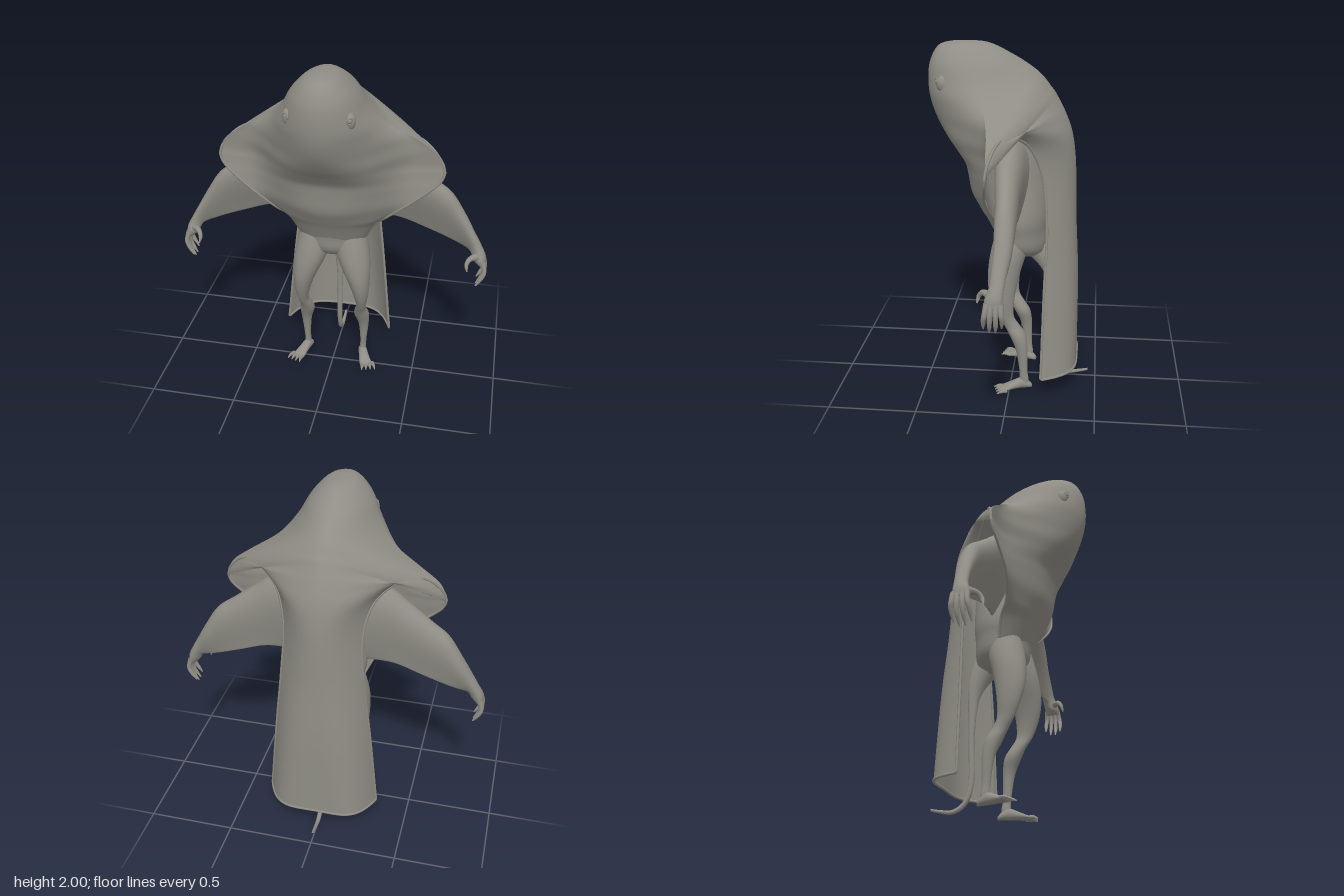
import * as THREE from 'three';
import { mergeGeometries, mergeVertices } from 'three/addons/utils/BufferGeometryUtils.js';

const skin = new THREE.MeshStandardMaterial({ color: 0x8f8d85, side: THREE.DoubleSide });
skin.name = 'grey skin';
const V = (x, y, z) => new THREE.Vector3(x, y, z);

// smooth interpolation between rows of numbers, n steps per row
function sample(keys, n) {
  const out = [], last = keys.length - 1;
  for (let i = 0; i <= last * n; i++) {
    const k = Math.min(Math.floor(i / n), last - 1), t = i / n - k;
    const [a, b, c, d] = [k - 1, k, k + 1, k + 2].map(m => keys[Math.max(0, Math.min(last, m))]);
    out.push(b.map((_, m) => b[m] + 0.5 * t * (c[m] - a[m] + t * (2 * a[m] - 5 * b[m] + 4 * c[m] - d[m]
      + t * (3 * (b[m] - c[m]) + d[m] - a[m])))));
  }
  return out;
}

// surface through rows of points; closed rows get end caps
function skinRows(rows, closed, flip) {
  const w = rows[0].length, pos = [], idx = [];
  rows.forEach(r => r.forEach(p => pos.push(p.x, p.y, p.z)));
  const tri = (a, b, c) => flip ? idx.push(a, c, b) : idx.push(a, b, c);
  for (let i = 0; i < rows.length - 1; i++) {
    for (let j = 0; j < (closed ? w : w - 1); j++) {
      const a = i * w + j, d = i * w + (j + 1) % w;
      tri(a, a + w, d);
      tri(d, a + w, d + w);
    }
  }
  if (closed) {
    const e = (rows.length - 1) * w;
    for (let j = 1; j < w - 1; j++) {
      tri(0, j, j + 1);
      tri(e, e + j + 1, e + j);
    }
  }
  const g = new THREE.BufferGeometry();
  g.setAttribute('position', new THREE.Float32BufferAttribute(pos, 3));
  g.setIndex(idx);
  g.computeVertexNormals();
  return g;
}

const ring = (n, f) => Array.from({ length: n }, (_, i) => f(i / n * Math.PI * 2));

// upright limb from keys [y, centre x, radius x, centre z, radius z]
const limb = keys => skinRows(sample(keys, 5).map(([y, cx, rx, cz, rz]) =>
  ring(24, a => V(cx + rx * Math.cos(a), y, cz + rz * Math.sin(a)))), true);

// tube whose radius follows a list
function taper(points, radii, n = 24) {
  const curve = new THREE.CatmullRomCurve3(points.map(p => V(...p)));
  const g = new THREE.TubeGeometry(curve, n, 1, 10), p = g.attributes.position, v = V(0, 0, 0);
  for (let i = 0; i <= n; i++) {
    const f = i / n * (radii.length - 1), k = Math.min(Math.floor(f), radii.length - 2);
    const r = radii[k] + (radii[k + 1] - radii[k]) * (f - k), c = curve.getPointAt(i / n);
    for (let j = 0; j <= 10; j++) {
      v.fromBufferAttribute(p, i * 11 + j).sub(c).multiplyScalar(r).add(c);
      p.setXYZ(i * 11 + j, v.x, v.y, v.z);
    }
  }
  return g;
}

// one mantle row from [edge x, y, z, middle y, middle z, power, roundness]
const mantleRow = ([ex, ey, ez, cy, cz, p, q]) => Array.from({ length: 65 }, (_, j) => {
  const s = Math.sin((j / 32 - 1) * Math.PI / 2), u = Math.abs(s);
  return V(ex * s, ey + (cy - ey) * (1 - Math.pow(u, 1.5)),
    ez + (cz - ez) * Math.pow(Math.max(0, 1 - Math.pow(u, p)), q));
});

function add(parent, name, geometry) {
  const m = new THREE.Mesh(geometry, skin);
  m.name = name;
  parent.add(m);
  return m;
}

export function createModel() {
  const model = new THREE.Group();
  model.name = 'creature';

  // hood: shared ridge, then front middle, then back middle
  const hood = sample([
    [0, 2, .27, 2, .27, 2, .5, 2, .27, 2, .5],
    [.085, 1.98, .265, 1.98, .39, 2, .5, 1.99, .13, 2, .5],
    [.165, 1.9, .24, 1.9, .445, 2, .5, 1.93, 0, 2, .5],
    [.23, 1.79, .18, 1.8, .46, 2, .55, 1.88, -.085, 1.9, .65],
    [.32, 1.69, .125, 1.69, .45, 2, .85, 1.84, -.14, 1.7, .85],
    [.47, 1.595, .09, 1.59, .415, 2.2, 2.1, 1.8, -.18, 1.5, 1],
    [.575, 1.52, .08, 1.5, .36, 2.8, 4.5, 1.76, -.21, 1.4, 1],
    [.615, 1.45, .075, 1.43, .305, 3.3, 7.5, 1.735, -.23, 1.4, 1],
    [.62, 1.41, .08, 1.39, .275, 3.4, 8, 1.71, -.245, 1.4, 1]], 5);
  // breast, from the wing tips in to the waist
  const breast = sample([
    [.62, 1.41, .08, 1.39, .275, 3.4, 8],
    [.6, 1.36, .085, 1.35, .252, 3.3, 7],
    [.54, 1.3, .095, 1.28, .24, 3, 5],
    [.42, 1.2, .1, 1.18, .225, 2.6, 2.6],
    [.31, 1.1, .07, 1.1, .185, 2.1, 1],
    [.25, 1.03, .02, 1.03, .145, 2, .6],
    [.195, .92, -.01, .92, .092, 2, .5]], 5);
  // cape, from the wing tips over the arm arch to the hem
  const cape = sample([
    [.62, 1.41, .08, 1.71, -.245, 1.4, 1],
    [.6, 1.47, .07, 1.68, -.262, 1.4, 1],
    [.53, 1.545, .04, 1.64, -.282, 1.5, 1],
    [.45, 1.575, 0, 1.58, -.308, 1.6, 1],
    [.35, 1.55, -.06, 1.51, -.33, 1.9, 1],
    [.258, 1.46, -.13, 1.42, -.346, 2.1, 1],
    [.218, 1.28, -.188, 1.28, -.357, 2.1, 1],
    [.235, 1, -.21, 1, -.365, 2.4, 1],
    [.275, .65, -.2, .65, -.382, 3.2, 1],
    [.325, .14, -.19, .155, -.385, 4.5, 1]], 5);
  const frontRows = [...hood.map(r => r.slice(0, 7)), ...breast.slice(1)].map(mantleRow);
  const backRows = [...hood.map(r => [...r.slice(0, 3), ...r.slice(7)]), ...cape.slice(1)].map(mantleRow);
  const sheets = [skinRows(frontRows, false), skinRows(backRows, false, true)];
  sheets.forEach(g => g.deleteAttribute('normal'));
  const mantle = mergeVertices(mergeGeometries(sheets), 1e-5);
  mantle.computeVertexNormals();
  add(model, 'mantle', mantle);

  // torso
  add(model, 'torso', limb([
    [1.66, 0, .12, .04, .14], [1.5, 0, .19, 0, .18], [1.25, 0, .2, -.015, .19], [1.05, 0, .22, -.035, .172],
    [.95, 0, .203, -.045, .153], [.87, 0, .185, -.05, .148], [.82, 0, .14, -.06, .125], [.78, 0, .05, -.07, .07]]));

  // tail
  add(model, 'tail', taper([[0, .9, -.1], [0, .79, -.175], [0, .69, -.215], [0, .45, -.23], [0, .15, -.23],
    [0, .06, -.265], [0, .022, -.33], [0, .03, -.4], [0, .042, -.455]],
  [.1, .065, .032, .02, .016, .016, .015, .013, .007], 48));

  for (const side of [1, -1]) {
    const half = new THREE.Group();
    half.name = side > 0 ? 'leftSide' : 'rightSide';
    half.scale.x = side;
    model.add(half);

    // rolled rim of the mantle
    const edge = r => V(r[0], r[1], r[2]);
    const rim = [...breast.map(edge).reverse(), ...cape.slice(1).map(edge),
      ...backRows[backRows.length - 1].slice(32, 64).reverse()];
    add(half, 'mantleRim', new THREE.TubeGeometry(new THREE.CatmullRomCurve3(rim), 200, .008, 6));

    // eye with a swollen socket and a lid ring
    const socket = add(half, 'eyeSocket', new THREE.SphereGeometry(.036, 20, 14));
    socket.position.set(.15, 1.79, .356);
    socket.scale.y = 1.3;
    const eye = new THREE.Group();
    eye.name = 'eye';
    eye.position.set(.158, 1.803, .384);
    eye.rotation.y = .6;
    half.add(eye);
    add(eye, 'eyeball', new THREE.SphereGeometry(.014, 14, 10));
    add(eye, 'eyelid', new THREE.TorusGeometry(.016, .005, 8, 20)).position.z = .004;

    // arm with hanging skin: top point, bottom point, thickness, thinning towards the bottom
    const arm = sample([
      [.13, 1.54, 0, .13, 1.04, -.04, .13, .6],
      [.3, 1.51, 0, .28, 1.055, -.045, .11, .8],
      [.43, 1.42, 0, .39, 1.045, -.045, .095, .88],
      [.56, 1.325, -.01, .52, 1.0, -.045, .082, .88],
      [.66, 1.25, -.015, .63, .96, -.04, .075, .85],
      [.74, 1.13, -.015, .71, .93, -.03, .064, .8],
      [.8, 1.025, -.005, .765, .91, -.015, .052, .65],
      [.845, .945, 0, .79, .895, 0, .046, .4],
      [.875, .885, .01, .81, .855, .015, .052, .3],
      [.88, .835, .015, .84, .825, .015, .048, .3]], 5);
    add(half, 'arm', skinRows(arm.map(([tx, ty, tz, bx, by, bz, r, thin]) => ring(28, a => {
      const s = (1 - Math.cos(a)) / 2;
      return V(tx + (bx - tx) * s, ty + (by - ty) * s, tz + (bz - tz) * s + r * Math.sin(a) * (1 - thin * s));
    })), true));

    // fingers and thumb
    [.055, .028, 0, -.028].forEach((z, i) => {
      const drop = [.02, 0, 0, .025][i];
      add(half, 'finger', taper([[.862, .86, z * .8], [.876, .8, z], [.868, .75 + drop, z * 1.1],
        [.835, .69 + drop, z * 1.1 + .005]], [.016, .014, .013, .011, .004], 16));
    });
    add(half, 'thumb', taper([[.83, .885, .03], [.79, .885, .07], [.775, .86, .092], [.782, .822, .102]],
      [.024, .018, .014, .011, .004], 16));

    // leg
    add(half, 'leg', limb([
      [1.0, .095, .075, -.01, .08], [.9, .106, .095, 0, .098], [.83, .118, .098, .012, .102],
      [.75, .138, .088, .03, .095], [.65, .162, .065, .043, .083], [.55, .176, .045, .04, .065],
      [.46, .177, .029, .022, .047], [.4, .168, .034, -.012, .045], [.34, .17, .045, -.045, .047],
      [.25, .18, .031, -.07, .034], [.12, .179, .019, -.08, .024], [.06, .177, .02, -.085, .026],
      [.02, .177, .018, -.085, .026]]));

    // foot and toes
    add(half, 'foot', skinRows(sample([
      [.165, -.13, .01, .02], [.168, -.11, .022, .042], [.178, -.07, .026, .065], [.195, -.02, .03, .048],
      [.21, .02, .036, .03], [.22, .045, .036, .02]], 4).map(([x, z, w, h]) =>
      ring(18, a => V(x + w * Math.cos(a), h / 2 * (1 + Math.sin(a)), z - w * .3 * Math.cos(a)))), true));
    for (let i = 0; i < 4; i++) {
      const x = .19 + i * .02, z = .045 - i * .008;
      add(half, 'toe', taper([[x, .012, z - .01], [x + .006 + i * .003, .014, z + .02],
        [x + .008 + i * .006, .006, z + .045]], [.011, .01, .003], 10));
    }
  }
  return model;
}
